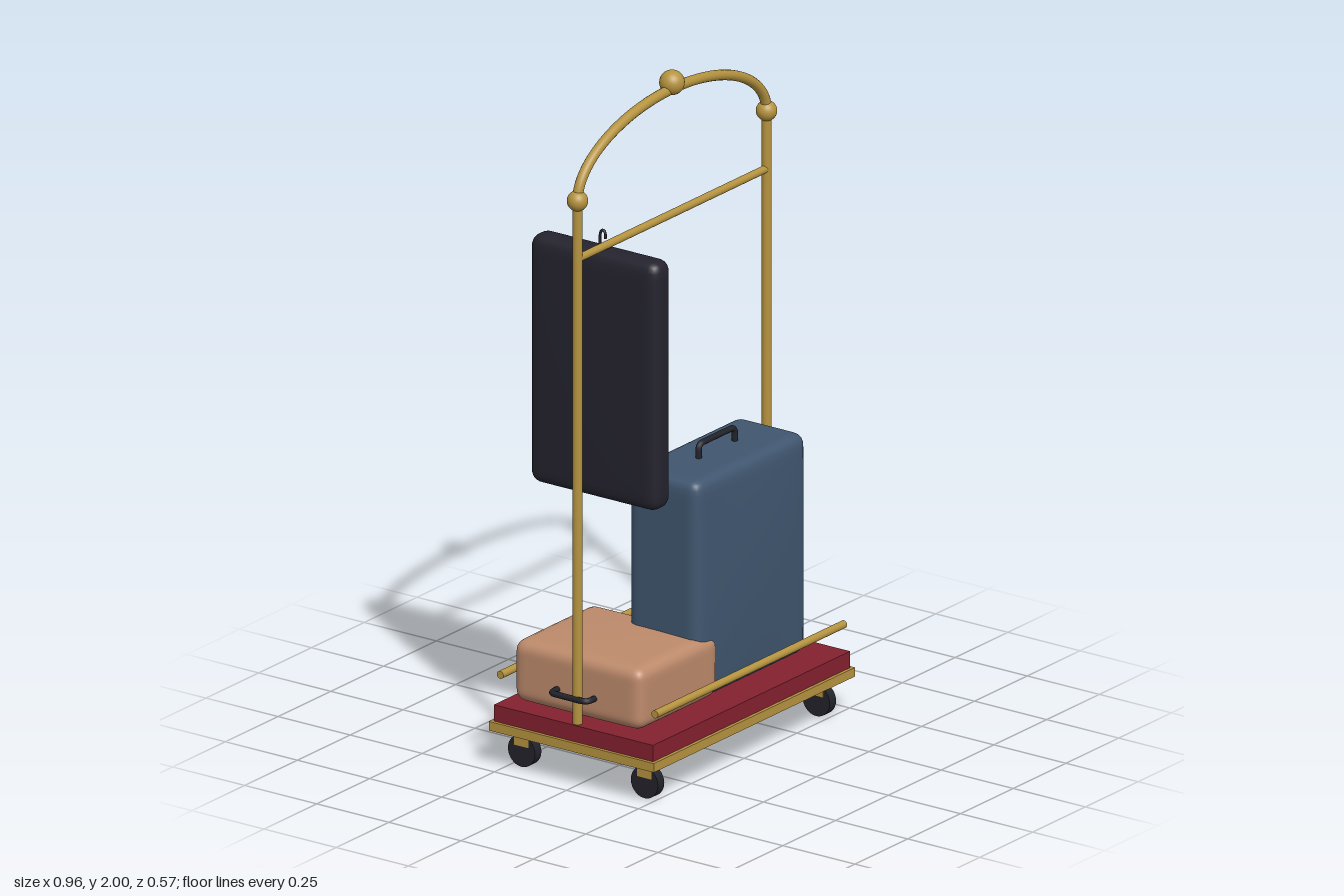
import * as THREE from 'three';
import { mergeVertices } from 'three/addons/utils/BufferGeometryUtils.js';

const material = (name, color) => {
  const m = new THREE.MeshStandardMaterial({ color });
  m.name = name;
  return m;
};

// Soft luggage block: rounded box whose thin axis swells towards the middle
function softBox(size, radius, thin, bulge) {
  const half = size.map((s, i) => (i === thin ? s / 2 / (1 + bulge) : s / 2));
  const geo = new THREE.BoxGeometry(2, 2, 2, 24, 24, 24);
  geo.deleteAttribute('uv');
  geo.deleteAttribute('normal');
  const pos = geo.attributes.position;
  for (let i = 0; i < pos.count; i++) {
    // crowd the grid lines near the edges, then round them off
    const t = [pos.getX(i), pos.getY(i), pos.getZ(i)].map((v) => Math.sin((v * Math.PI) / 2));
    const outer = new THREE.Vector3(...t.map((v, k) => v * half[k]));
    const inner = new THREE.Vector3(...outer.toArray().map((v, k) =>
      THREE.MathUtils.clamp(v, radius - half[k], half[k] - radius)));
    const p = outer.sub(inner).setLength(radius).add(inner).toArray();
    let swell = bulge;
    for (let k = 0; k < 3; k++) if (k !== thin) swell *= 1 - (p[k] / half[k]) ** 2;
    p[thin] *= 1 + swell;
    pos.setXYZ(i, ...p);
  }
  const merged = mergeVertices(geo, 1e-5);
  merged.computeVertexNormals();
  return merged;
}

// Carry handle: a tube bent into a bracket with rounded corners, opening down
function handleGeometry(halfWidth, height, radius) {
  const v = (x, y) => new THREE.Vector3(x, y, 0);
  const c = 0.02, w = halfWidth, h = height;
  const path = new THREE.CurvePath();
  path.add(new THREE.LineCurve3(v(-w, -0.015), v(-w, h - c)));
  path.add(new THREE.QuadraticBezierCurve3(v(-w, h - c), v(-w, h), v(c - w, h)));
  path.add(new THREE.LineCurve3(v(c - w, h), v(w - c, h)));
  path.add(new THREE.QuadraticBezierCurve3(v(w - c, h), v(w, h), v(w, h - c)));
  path.add(new THREE.LineCurve3(v(w, h - c), v(w, -0.015)));
  return new THREE.TubeGeometry(path, 48, radius, 10);
}

export function createModel() {
  const brass = material('brass', 0xb5933f);
  const carpet = material('red carpet', 0x84212f);
  const rubber = material('black rubber', 0x22222a);
  const blue = material('blue leather', 0x40566f);
  const tan = material('tan leather', 0xbd8a6b);
  const fabric = material('dark fabric', 0x24232e);

  const model = new THREE.Group();
  model.name = 'luggageCart';
  const add = (name, geo, mat, x = 0, y = 0, z = 0, parent = model) => {
    const mesh = new THREE.Mesh(geo, mat);
    mesh.name = name;
    mesh.position.set(x, y, z);
    parent.add(mesh);
    return mesh;
  };

  // Platform
  add('tray', new THREE.BoxGeometry(0.954, 0.027, 0.572), brass, 0, 0.1225, 0);
  add('carpetDeck', new THREE.BoxGeometry(0.934, 0.05, 0.552), carpet, 0, 0.16, 0);

  // Casters
  const wheel = new THREE.CylinderGeometry(0.047, 0.047, 0.03, 28).rotateZ(Math.PI / 2);
  const bracket = new THREE.BoxGeometry(0.032, 0.05, 0.05);
  for (const x of [-0.407, 0.407]) {
    for (const z of [-0.213, 0.213]) {
      const caster = new THREE.Group();
      caster.name = 'caster';
      caster.position.set(x, 0, z);
      add('casterBracket', bracket, brass, 0, 0.086, 0, caster);
      add('casterWheel', wheel, rubber, 0, 0.047, 0, caster);
      model.add(caster);
    }
  }

  // Posts with ball joints
  const postX = 0.448, postTop = 1.745;
  for (const x of [-postX, postX]) {
    add('post', new THREE.CylinderGeometry(0.014, 0.014, postTop - 0.18, 20), brass, x, (postTop + 0.18) / 2, 0);
    add('postBall', new THREE.SphereGeometry(0.03, 24, 16), brass, x, postTop, 0);
  }

  // Arched top with finial
  const arc = [];
  for (let i = 0; i <= 24; i++) {
    const a = Math.PI * (1 - i / 24);
    arc.push(new THREE.Vector3(postX * Math.cos(a), postTop + 0.2 * Math.sin(a), 0));
  }
  add('arch', new THREE.TubeGeometry(new THREE.CatmullRomCurve3(arc), 64, 0.015, 14), brass);
  add('finialBall', new THREE.SphereGeometry(0.036, 28, 18), brass, 0, 1.964, 0);

  // Hanging rail and low guard rails
  const rail = new THREE.CylinderGeometry(0.0115, 0.0115, 0.896, 16).rotateZ(Math.PI / 2);
  add('hangingRail', rail, brass, 0, 1.572, 0);
  for (const z of [-0.268, 0.268]) add('guardRail', rail, brass, 0, 0.27, z);

  // Upright blue suitcase
  add('blueSuitcase', softBox([0.526, 0.658, 0.268], 0.035, 2, 0.1), blue, 0.127, 0.515, 0.065);
  add('blueSuitcaseHandle', handleGeometry(0.086, 0.042, 0.009), rubber, 0.127, 0.843, 0.062);

  // Tan suitcase lying flat, handle on its right side
  add('tanSuitcase', softBox([0.378, 0.197, 0.445], 0.035, 1, 0.07), tan, -0.235, 0.282, -0.023);
  const sideHandle = add('tanSuitcaseHandle', handleGeometry(0.064, 0.036, 0.009), rubber, -0.424, 0.26, -0.023);
  sideHandle.rotation.set(0, Math.PI / 2, Math.PI / 2, 'ZYX');

  // Garment bag and its hook
  add('garmentBag', softBox([0.1, 0.742, 0.445], 0.035, 0, 0.16), fabric, -0.3, 1.188, -0.029);
  const hook = new THREE.CatmullRomCurve3([[1.54, -0.03], [1.59, -0.03], [1.605, -0.026],
    [1.609, -0.02], [1.604, -0.013], [1.585, -0.011]].map(([y, z]) => new THREE.Vector3(0, y, z)));
  add('hangerHook', new THREE.TubeGeometry(hook, 24, 0.004, 8), rubber, -0.3, 0, 0);

  return model;
}
